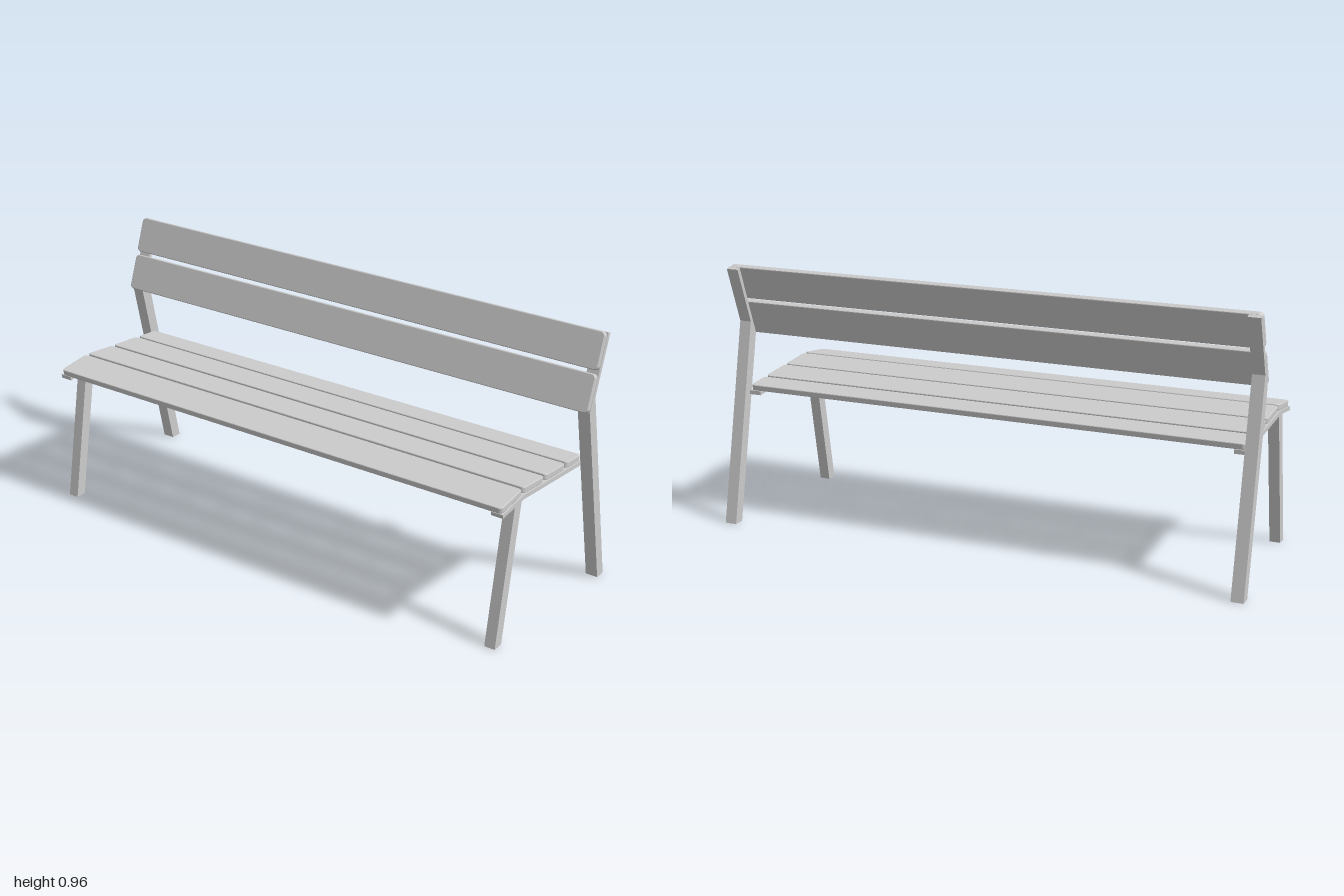
import * as THREE from 'three';

const material = new THREE.MeshStandardMaterial({ color: 0xcccccc });
const THICK = 0.022; // slat thickness

// Plank with rounded corners; from/to are [z, y] points along its outer face.
function plank(name, width, from, to) {
  const dir = new THREE.Vector3(0, to[1] - from[1], to[0] - from[0]);
  const length = dir.length();
  dir.normalize();
  const b = 0.003, r = 0.012;
  const w = width / 2 - b, lo = b, hi = length - b;
  const s = new THREE.Shape();
  s.moveTo(-w + r, lo);
  s.lineTo(w - r, lo);
  s.absarc(w - r, lo + r, r, -Math.PI / 2, 0);
  s.lineTo(w, hi - r);
  s.absarc(w - r, hi - r, r, 0, Math.PI / 2);
  s.lineTo(-w + r, hi);
  s.absarc(-w + r, hi - r, r, Math.PI / 2, Math.PI);
  s.lineTo(-w, lo + r);
  s.absarc(-w + r, lo + r, r, Math.PI, Math.PI * 1.5);
  const geometry = new THREE.ExtrudeGeometry(s, {
    depth: THICK - 2 * b, bevelEnabled: true, bevelSize: b, bevelThickness: b,
    bevelSegments: 2, curveSegments: 6,
  });
  geometry.translate(0, 0, b - THICK);
  const xAxis = new THREE.Vector3(1, 0, 0);
  const normal = new THREE.Vector3().crossVectors(xAxis, dir);
  geometry.applyMatrix4(new THREE.Matrix4().makeBasis(xAxis, dir, normal)
    .setPosition(0, from[1], from[0]));
  const mesh = new THREE.Mesh(geometry, material);
  mesh.name = name;
  return mesh;
}

// Flat side profile of [z, y] points, extruded between x0 and x1.
function profile(name, points, x0, x1) {
  const shape = new THREE.Shape(points.map(([z, y]) => new THREE.Vector2(-z, y)));
  const geometry = new THREE.ExtrudeGeometry(shape, { depth: x1 - x0, bevelEnabled: false });
  geometry.rotateY(Math.PI / 2);
  geometry.translate(x0, 0, 0);
  const mesh = new THREE.Mesh(geometry, material);
  mesh.name = name;
  return mesh;
}

export function createModel() {
  const bench = new THREE.Group();
  bench.name = 'bench';

  // Seat: a front plank tipped forward, then three sloping to the back
  const seat = new THREE.Group();
  seat.name = 'seat';
  [
    [[0.333, 0.525], [0.2, 0.541]],
    [[0.188, 0.541], [0.054, 0.528]],
    [[0.043, 0.528], [-0.091, 0.516]],
    [[-0.102, 0.515], [-0.2, 0.506]],
  ].forEach(([from, to], i) => seat.add(plank(`seatSlat${i + 1}`, 1.9, from, to)));

  // Backrest: two leaning planks
  const backrest = new THREE.Group();
  backrest.name = 'backrest';
  backrest.add(plank('lowerBackSlat', 2, [-0.122, 0.7], [-0.168, 0.825]));
  backrest.add(plank('upperBackSlat', 2, [-0.172, 0.838], [-0.216, 0.961]));
  bench.add(seat, backrest);

  // Frame on each side: front leg, bent seat rail, bent back post
  for (const side of [1, -1]) {
    const name = side > 0 ? 'left' : 'right';
    const frame = new THREE.Group();
    frame.name = `${name}Frame`;
    const add = (part, points, a, b) => frame.add(
      profile(name + part, points, Math.min(side * a, side * b), Math.max(side * a, side * b)));
    add('FrontLeg', [[0.333, 0], [0.292, 0], [0.2, 0.51], [0.243, 0.505]], 0.91, 0.95);
    add('SeatRail', [
      [0.328, 0.489], [0.2, 0.504], [-0.2, 0.469],
      [-0.2, 0.484], [0.195, 0.519], [0.33, 0.503],
    ], 0.91, 0.955);
    add('BackPost', [
      [-0.332, 0], [-0.29, 0], [-0.143, 0.693],
      [-0.237, 0.953], [-0.252, 0.947], [-0.176, 0.74],
    ], 0.955, 1);
    bench.add(frame);
  }
  return bench;
}
